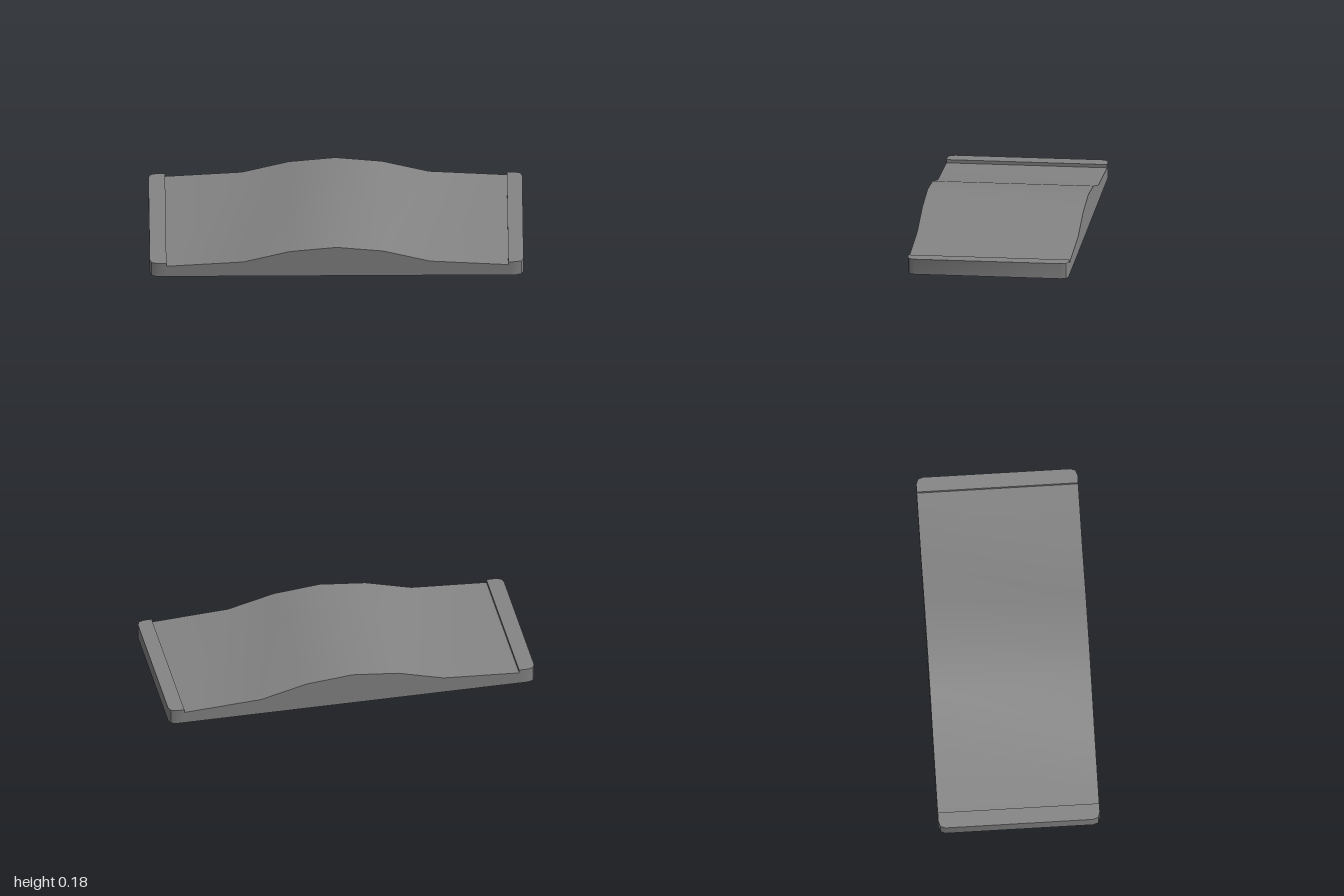
import * as THREE from 'three';
import { toCreasedNormals } from 'three/addons/utils/BufferGeometryUtils.js';

const HALF_DEPTH = 0.433, RIM = 0.04, RECESS = 0.05;

// One half of the body as stations from the end inwards: [x, top height, half depth]
const half = (side, lipX) => [
  [1, 0.084, 0.395], [0.99, 0.084, 0.423], [0.96, 0.084, HALF_DEPTH],
  [lipX, 0.084, HALF_DEPTH], [lipX, 0.066, HALF_DEPTH],
  [0.5, 0.091, HALF_DEPTH], [0.25, 0.157, HALF_DEPTH],
].map(([x, y, z]) => [side * x, y, z]);
const stations = [...half(-1, 0.911), [0, 0.182, HALF_DEPTH], ...half(1, 0.918).reverse()];

// Curved top, side walls and end walls, open underneath
function bodyGeometry() {
  const pos = [];
  const quad = (a, b, c, d) => pos.push(...a, ...b, ...c, ...a, ...c, ...d);
  const rings = stations.map(([x, y, z]) => [[x, 0, z], [x, y, z], [x, y, -z], [x, 0, -z]]);
  for (let i = 0; i < rings.length - 1; i++) {
    const r = rings[i], n = rings[i + 1];
    const step = r[0][0] === n[0][0];
    for (let k = 0; k < 3; k++) {
      if (step && k !== 1) continue; // a step only has its riser
      quad(r[k], n[k], n[k + 1], r[k + 1]);
    }
  }
  const first = rings[0], last = rings[rings.length - 1];
  quad(first[0], first[1], first[2], first[3]);
  quad(last[0], last[3], last[2], last[1]);
  const g = new THREE.BufferGeometry();
  g.setAttribute('position', new THREE.Float32BufferAttribute(pos, 3));
  return toCreasedNormals(g, 0.5);
}

// Flat border the body stands on
function rimGeometry() {
  const front = stations.map(([x, , z]) => new THREE.Vector2(x, z));
  const back = stations.map(([x, , z]) => new THREE.Vector2(x, -z)).reverse();
  const shape = new THREE.Shape([...front, ...back]);
  const w = 1 - RIM, d = HALF_DEPTH - RIM;
  shape.holes.push(new THREE.Path([
    new THREE.Vector2(-w, -d), new THREE.Vector2(-w, d),
    new THREE.Vector2(w, d), new THREE.Vector2(w, -d),
  ]));
  return new THREE.ShapeGeometry(shape).rotateX(Math.PI / 2);
}

// Inward-facing box without its bottom face
function recessGeometry() {
  const g = new THREE.BoxGeometry(2 * (1 - RIM), RECESS, 2 * (HALF_DEPTH - RIM));
  g.setIndex(Array.from(g.index.array).filter((_, i) => i < 18 || i >= 24));
  g.clearGroups();
  return g.translate(0, RECESS / 2, 0);
}

export function createModel() {
  const group = new THREE.Group();
  const add = (name, geometry, side = THREE.FrontSide) => {
    const mesh = new THREE.Mesh(geometry, new THREE.MeshStandardMaterial({ color: 0x858585, side }));
    mesh.name = name;
    group.add(mesh);
  };
  add('archedBody', bodyGeometry());
  add('bottomRim', rimGeometry());
  add('undersideRecess', recessGeometry(), THREE.BackSide);
  return group;
}
